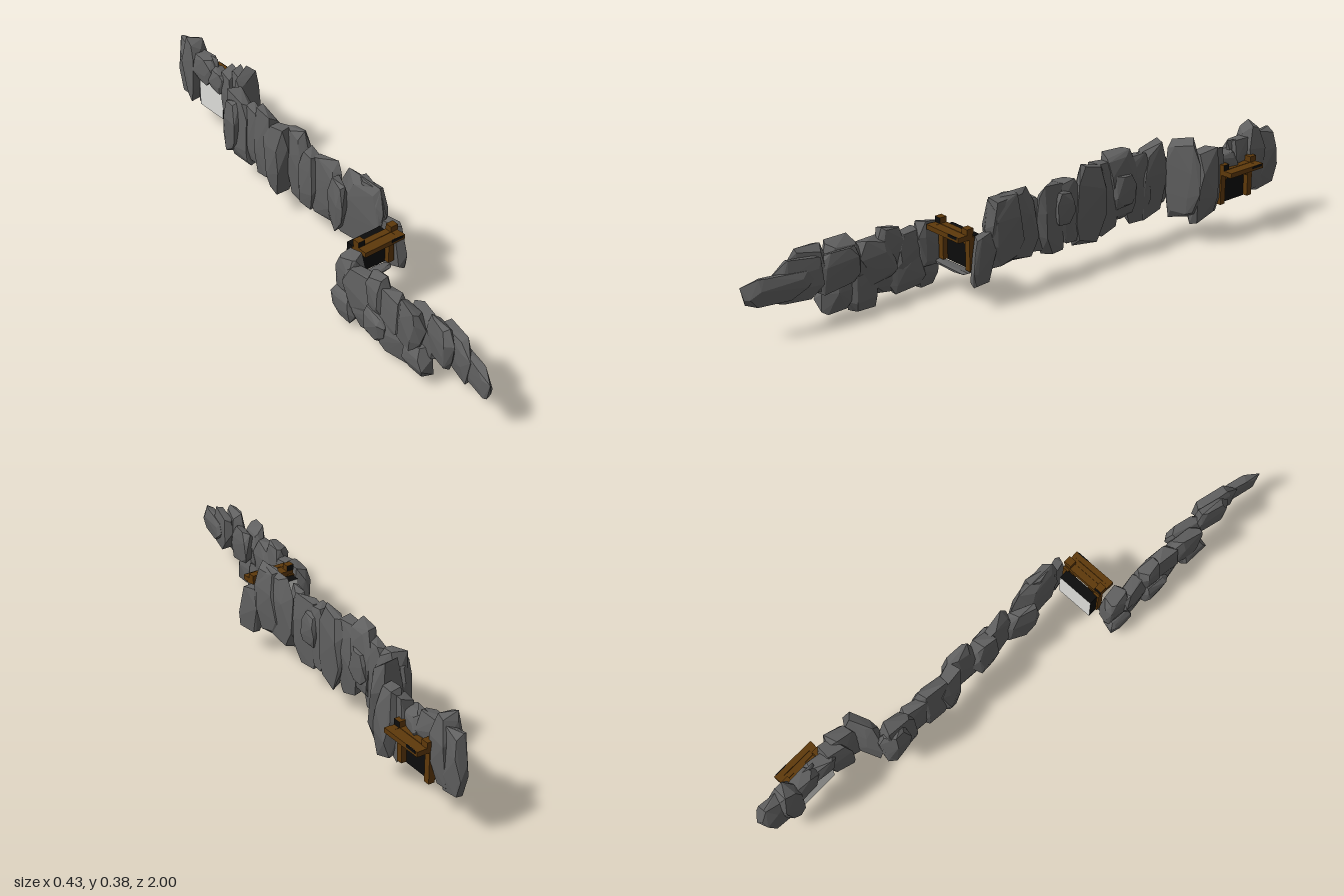
import * as THREE from 'three';
import { ConvexGeometry } from 'three/addons/geometries/ConvexGeometry.js';

const mat = (name, color, flatShading = false) => {
  const m = new THREE.MeshStandardMaterial({ color, flatShading });
  m.name = name;
  return m;
};

let seed = 11;
const rand = () => {
  seed = (seed * 16807) % 2147483647;
  return seed / 2147483647;
};

// angular rock that exactly fills the box z0..z1, x0..x1, y0..y1; skew turns it in plan
function rockGeometry([z0, z1, x0, x1, y0, y1, skew = (rand() - 0.5) * 0.9]) {
  const pts = [];
  const rings = [[0, 0.74], [0.3, 0.97], [0.7, 1], [1, 0.74]];
  const lean = (rand() - 0.5) * 0.7;
  for (const [h, r] of rings) {
    for (let i = 0; i < 6; i++) {
      const a = ((i + rand() * 0.8) / 6) * Math.PI * 2;
      const k = r * (0.82 + rand() * 0.3);
      const c = Math.cos(a), s = Math.sin(a);
      const z = Math.sign(s) * Math.abs(s) ** 0.45 * k + lean * (h - 0.5);
      const x = Math.sign(c) * Math.abs(c) ** 0.6 * k + skew * z;
      pts.push(new THREE.Vector3(x, h + (rand() - 0.5) * 0.2, z));
    }
  }
  const box = new THREE.Box3().setFromPoints(pts);
  const size = box.getSize(new THREE.Vector3());
  for (const p of pts) {
    p.sub(box.min).divide(size);
    p.set(x0 + p.x * (x1 - x0), y0 + p.y * (y1 - y0), z0 + p.z * (z1 - z0));
  }
  return new ConvexGeometry(pts);
}

function rockWall(name, rows, material) {
  const g = new THREE.Group();
  g.name = name;
  for (const row of rows) {
    const m = new THREE.Mesh(rockGeometry(row), material);
    m.name = 'rock';
    g.add(m);
  }
  return g;
}

// mine entrance: origin at the middle of the sill, facing +z
function mineEntrance(wood, dark, pale) {
  const g = new THREE.Group();
  g.name = 'mineEntrance';
  const box = (name, w, h, d, x, y, z, m = wood, roll = 0) => {
    const b = new THREE.Mesh(new THREE.BoxGeometry(w, h, d), m);
    b.name = name;
    b.position.set(x, y, z);
    b.rotation.z = roll;
    g.add(b);
  };
  // shaft block: pale underneath and behind, dark elsewhere
  box('shaft', 0.135, 0.114, 0.035, -0.005, 0.057, 0.017, [dark, dark, dark, pale, dark, pale]);
  for (const s of [-1, 1]) {
    box('post', 0.022, 0.115, 0.022, s * 0.067, 0.06, 0.042);
    box('brace', 0.008, 0.042, 0.012, s * 0.043, 0.096, 0.042, wood, s * 0.8);
    box('bracket', 0.024, 0.018, 0.055, s * 0.067, 0.121, 0.068);
  }
  box('lintel', 0.155, 0.018, 0.024, 0, 0.121, 0.05);
  box('middleBeam', 0.15, 0.014, 0.016, 0, 0.122, 0.071);
  box('frontBeam', 0.16, 0.017, 0.02, 0, 0.122, 0.09);
  box('beamStain', 0.045, 0.009, 0.004, 0.05, 0.126, 0.099, dark);
  box('rightCap', 0.028, 0.02, 0.026, 0.067, 0.14, 0.052);
  box('leftCap', 0.026, 0.02, 0.026, -0.067, 0.14, 0.052, [wood, wood, wood, wood, dark, dark]);
  return g;
}

export function createModel() {
  const rock = mat('rockGrey', 0x606060, true);
  const wood = mat('timberBrown', 0x5e390b);
  const dark = mat('shaftBlack', 0x0c0c0c);
  const pale = mat('palePanel', 0xdededa);

  const model = new THREE.Group();
  model.name = 'mineCliff';

  // rows: z0, z1, x0, x1, y0, y1, skew
  model.add(rockWall('nearUpperWall', [
    [0.78, 1.00, -0.20, -0.125, 0.12, 0.21, -1.4],
    [0.73, 0.90, -0.19, -0.12, 0.105, 0.25, -0.8],
    [0.70, 0.84, -0.21, -0.14, 0.11, 0.268, -0.8],
    [0.60, 0.75, -0.19, -0.12, 0.10, 0.24, -0.6],
    [0.56, 0.71, -0.215, -0.14, 0.09, 0.262, -0.6],
    [0.46, 0.60, -0.20, -0.125, 0.08, 0.235],
    [0.42, 0.52, -0.20, -0.135, 0.11, 0.262],
    [0.33, 0.47, -0.20, -0.13, 0.08, 0.225],
    [0.27, 0.37, -0.19, -0.12, 0.09, 0.25],
  ], rock));
  model.add(rockWall('nearLowerWall', [
    [0.60, 0.73, -0.215, -0.14, 0.025, 0.13],
    [0.50, 0.64, -0.20, -0.135, 0.00, 0.13],
    [0.42, 0.54, -0.215, -0.14, 0.03, 0.14],
    [0.34, 0.48, -0.19, -0.135, 0.02, 0.14],
    [0.27, 0.38, -0.20, -0.14, 0.015, 0.12],
  ], rock));
  model.add(rockWall('middleWall', [
    [0.22, 0.32, 0.035, 0.085, 0.075, 0.245],
    [0.03, 0.25, 0.01, 0.075, 0.105, 0.352, 0.3],
    [0.10, 0.25, 0.02, 0.08, 0.10, 0.35, 0],
    [-0.02, 0.11, -0.02, 0.06, 0.11, 0.31, -0.8],
    [-0.10, 0.03, 0.01, 0.07, 0.09, 0.335],
    [-0.17, -0.05, 0.00, 0.06, 0.11, 0.33],
    [-0.27, -0.13, 0.02, 0.08, 0.085, 0.37],
    [-0.33, -0.22, -0.01, 0.07, 0.08, 0.35],
    [-0.41, -0.28, 0.00, 0.065, 0.11, 0.37],
    [-0.48, -0.36, 0.01, 0.07, 0.10, 0.345],
    [-0.55, -0.43, 0.00, 0.07, 0.10, 0.365],
    [-0.57, -0.47, -0.01, 0.06, 0.12, 0.34],
    [-0.12, -0.04, 0.03, 0.075, 0.18, 0.30],
    [-0.40, -0.30, 0.03, 0.075, 0.17, 0.29],
  ], rock));
  // rocks behind the far entrance are thin so that its frame and back show
  model.add(rockWall('farWall', [
    [-0.70, -0.58, 0.11, 0.19, 0.075, 0.34],
    [-0.73, -0.63, 0.09, 0.165, 0.10, 0.33],
    [-0.79, -0.68, 0.118, 0.147, 0.12, 0.30],
    [-0.87, -0.76, 0.118, 0.147, 0.12, 0.335],
    [-0.93, -0.85, 0.09, 0.17, 0.12, 0.372],
    [-1.00, -0.87, 0.10, 0.17, 0.12, 0.34],
    [-0.80, -0.68, 0.10, 0.17, 0.222, 0.305],
    [-0.89, -0.76, 0.09, 0.165, 0.226, 0.33],
  ], rock));

  // slanting slab joining the middle and far walls
  const corner = rockWall('cornerSlab', [[-0.025, 0.025, -0.075, 0.075, 0.08, 0.385, 0]], rock);
  corner.position.set(0.11, 0, -0.575);
  corner.rotation.y = 0.35;
  model.add(corner);

  // thin sliver under the near entrance
  model.add(rockWall('ledge', [[0.28, 0.32, -0.135, 0.03, 0.098, 0.114]], rock));

  const near = mineEntrance(wood, dark, pale);
  near.position.set(-0.038, 0.115, 0.25);
  model.add(near);

  const far = mineEntrance(wood, dark, pale);
  far.position.set(0.115, 0.118, -0.785);
  far.rotation.y = Math.PI / 2;
  model.add(far);
  return model;
}
